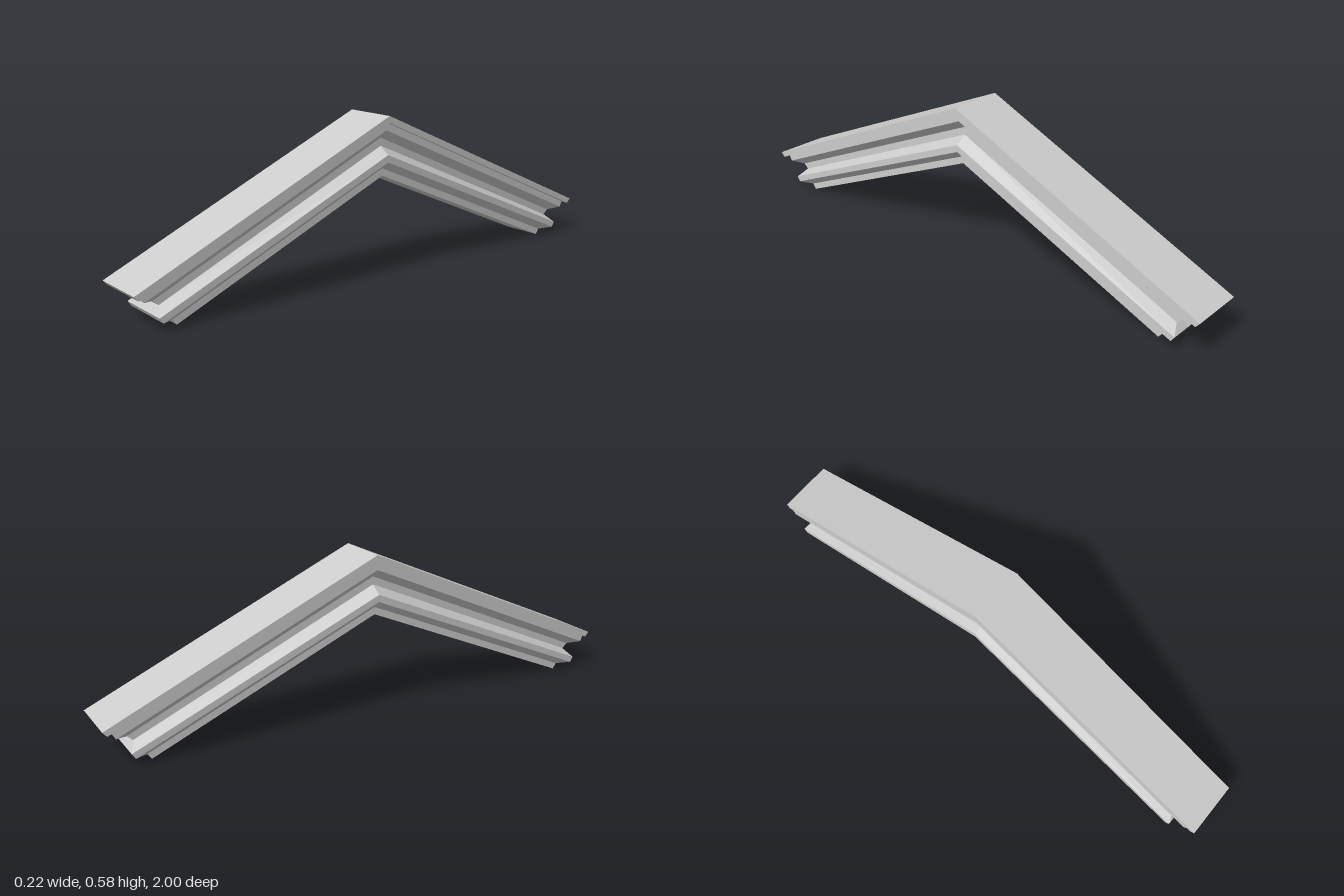
import * as THREE from 'three';

// Profile from top to bottom: [left x, right x, height at ridge, height at ends, half length]
const LEVELS = [
  [-0.1, 0.11, 0.58, 0.135, 1],           // top slab
  [-0.1, 0.11, 0.555, 0.118, 0.985],
  [-0.1, 0.093, 0.555, 0.124, 0.97],      // step under the slab
  [-0.1, 0.093, 0.527, 0.103, 0.958],
  [-0.068, 0.061, 0.497, 0.092, 0.915],   // recessed neck
  [-0.068, 0.061, 0.468, 0.074, 0.895],
  [-0.111, 0.102, 0.44, 0.046, 0.915],    // flared lower band
  [-0.111, 0.102, 0.414, 0.027, 0.902],
  [-0.08, 0.07, 0.388, 0.02, 0.855],      // narrow foot
  [-0.08, 0.07, 0.361, 0, 0.84],
];

// Bent outline of one level, counterclockwise from above
function ring([l, r, ridge, end, z]) {
  return [[r, end, z], [r, ridge, 0], [r, end, -z], [l, end, -z], [l, ridge, 0], [l, end, z]];
}

export function createModel() {
  const rings = LEVELS.map(ring);
  const positions = [];
  const quad = (a, b, c, d) => positions.push(...a, ...b, ...c, ...a, ...c, ...d);

  // Moulded sides and ends
  for (let i = 0; i < rings.length - 1; i++) {
    const t = rings[i], b = rings[i + 1];
    for (let j = 0; j < 6; j++) {
      const k = (j + 1) % 6;
      quad(t[j], b[j], b[k], t[k]);
    }
  }
  // Sloping top and underside
  const t = rings[0], b = rings[rings.length - 1];
  quad(t[0], t[1], t[4], t[5]);
  quad(t[1], t[2], t[3], t[4]);
  quad(b[5], b[4], b[1], b[0]);
  quad(b[4], b[3], b[2], b[1]);

  const geometry = new THREE.BufferGeometry();
  geometry.setAttribute('position', new THREE.Float32BufferAttribute(positions, 3));
  geometry.computeVertexNormals();

  const mesh = new THREE.Mesh(geometry, new THREE.MeshStandardMaterial({ color: 0xcccccc, flatShading: true }));
  mesh.name = 'gableMoulding';
  const group = new THREE.Group();
  group.name = 'gable';
  group.add(mesh);
  return group;
}
